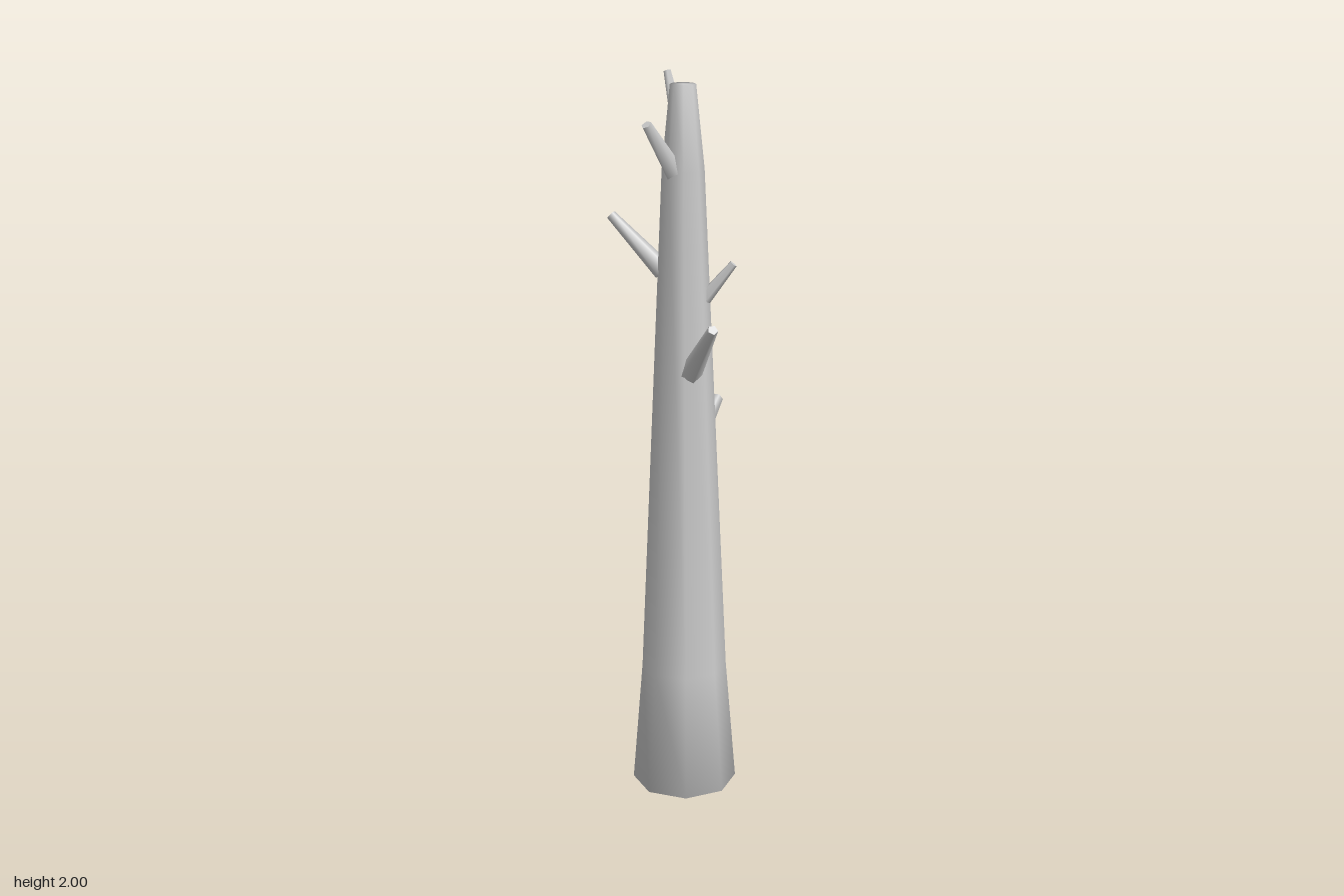
import * as THREE from 'three';

const material = new THREE.MeshStandardMaterial({ color: 0xcccccc });

// Tapered five-sided stub running from root to tip, one edge facing down
function branch(root, tip, rootRadius, tipRadius) {
  const a = new THREE.Vector3(...root);
  const b = new THREE.Vector3(...tip);
  const dir = b.clone().sub(a);
  const length = dir.length();
  dir.normalize();
  const under = new THREE.Vector3(0, -1, 0).addScaledVector(dir, dir.y).normalize();
  const side = dir.clone().cross(under);
  const mesh = new THREE.Mesh(new THREE.CylinderGeometry(tipRadius, rootRadius, length, 5), material);
  mesh.quaternion.setFromRotationMatrix(new THREE.Matrix4().makeBasis(side, dir, under));
  mesh.position.copy(a).add(b).multiplyScalar(0.5);
  return mesh;
}

export function createModel() {
  const group = new THREE.Group();
  group.name = 'deadTree';

  // Eight-sided trunk, flared at the foot and cut off at the top
  const profile = [[0, 0], [0.145, 0], [0.117, 0.35], [0.056, 1.75], [0.034, 1.97], [0, 1.97]];
  const trunk = new THREE.Mesh(
    new THREE.LatheGeometry(profile.map(([r, y]) => new THREE.Vector2(r, y)), 8), material);
  trunk.name = 'trunk';
  trunk.position.set(-0.015, 0, 0.035);
  group.add(trunk);

  // Broken branches: name, root, tip, root radius, tip radius
  const branches = [
    ['backBranch', [-0.038, 0.975, -0.03], [-0.083, 1.07, -0.175], 0.031, 0.016],
    ['leftBranch', [0.04, 1.215, 0.065], [0.197, 1.377, 0.15], 0.031, 0.014],
    ['backLeftBranch', [0.03, 1.405, 0.003], [0.088, 1.5, -0.048], 0.02, 0.011],
    ['rightBranch', [-0.065, 1.475, 0.06], [-0.197, 1.617, 0.122], 0.029, 0.014],
    ['frontBranch', [-0.015, 1.745, 0.07], [-0.018, 1.88, 0.168], 0.027, 0.014],
    ['topBranch', [-0.04, 1.87, 0.028], [-0.09, 1.995, 0.015], 0.02, 0.01],
  ];
  for (const [name, ...spec] of branches) {
    const mesh = branch(...spec);
    mesh.name = name;
    group.add(mesh);
  }
  return group;
}
